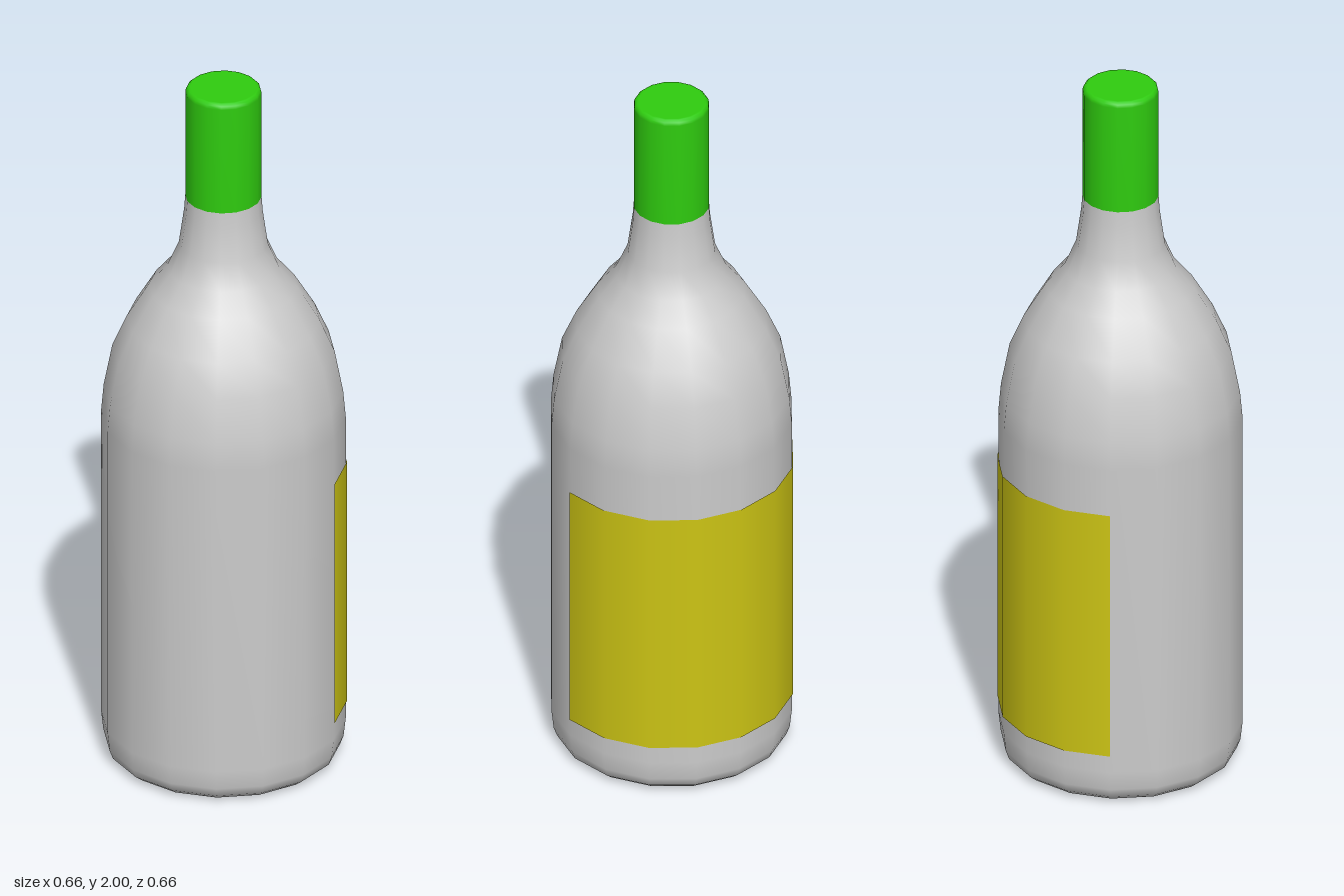
import * as THREE from 'three';

const SIDES = 16;

// Turn a [radius, height] profile around the y axis
function lathe(name, profile, color, segments = SIDES, start = 0, length = Math.PI * 2) {
  const points = profile.map(([r, y]) => new THREE.Vector2(r, y));
  const mesh = new THREE.Mesh(
    new THREE.LatheGeometry(points, segments, start, length),
    new THREE.MeshStandardMaterial({ color, side: THREE.DoubleSide })
  );
  mesh.name = name;
  return mesh;
}

export function createModel() {
  const bottle = new THREE.Group();
  bottle.name = 'bottle';

  // Glass: flat base with rounded rim, straight wall, shoulder and neck
  bottle.add(lathe('glassBody', [
    [0, 0], [0.27, 0], [0.292, 0.004], [0.312, 0.02], [0.321, 0.045], [0.327, 0.1],
    [0.327, 1.01], [0.32, 1.09], [0.297, 1.21], [0.258, 1.3], [0.198, 1.4],
    [0.15, 1.458], [0.119, 1.53], [0.105, 1.63], [0.1, 1.7], [0.098, 1.76],
  ], 0xcccccc));

  // Foil cap over the neck, with a slightly bevelled top edge
  bottle.add(lathe('cap', [
    [0.098, 1.67], [0.102, 1.67], [0.102, 1.985], [0.1, 1.994], [0.094, 2], [0.088, 2], [0, 2],
  ], 0x2fcc0f));

  // Paper label wrapped around the back half
  bottle.add(lathe('label', [[0.33, 0.15], [0.33, 0.875]], 0xccc414, SIDES / 2, Math.PI / 2, Math.PI));

  return bottle;
}
